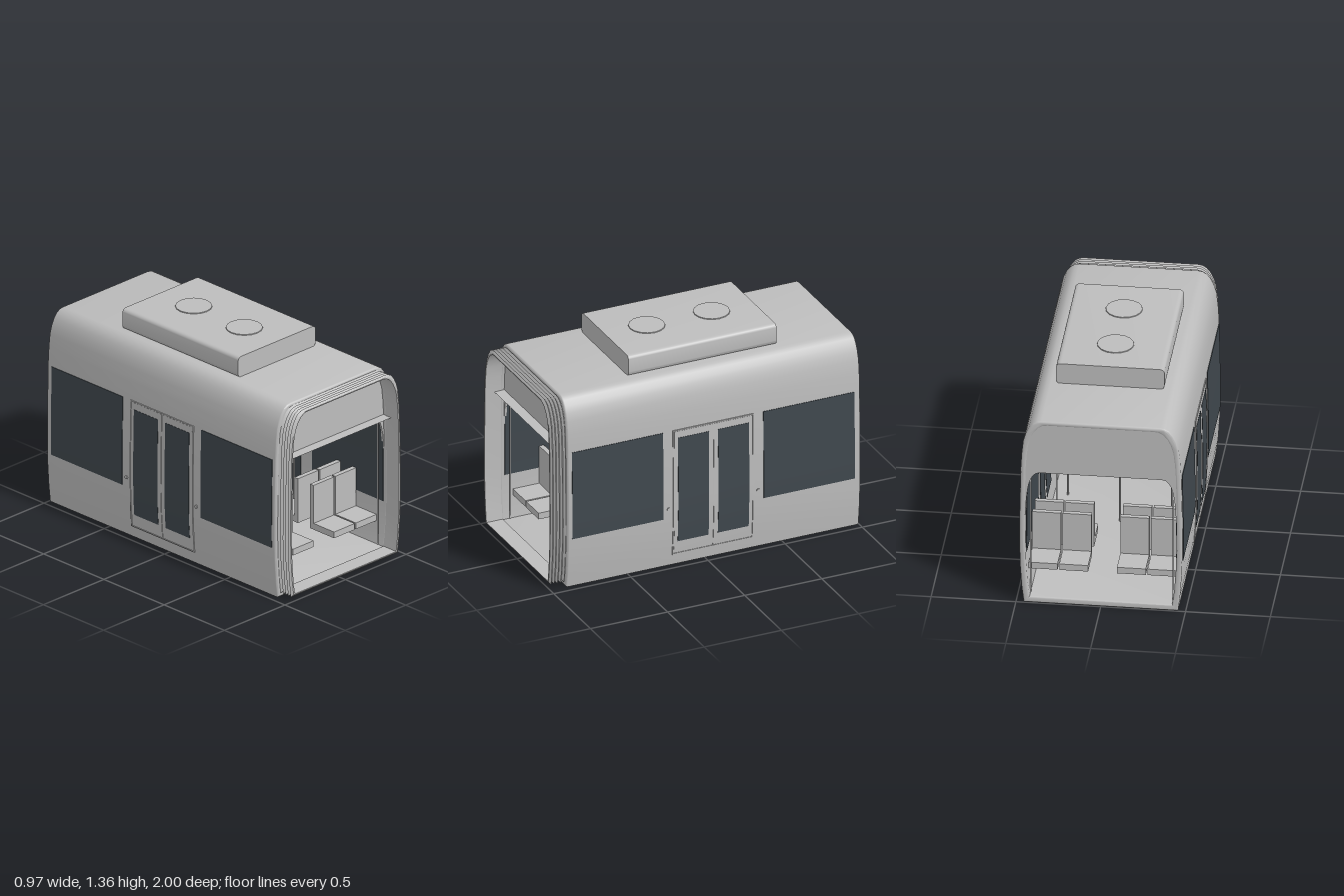
import * as THREE from 'three';
import { toCreasedNormals } from 'three/addons/utils/BufferGeometryUtils.js';

const body = new THREE.MeshStandardMaterial({ color: 0xbdbdbd, side: THREE.DoubleSide });
body.name = 'light grey';
const glass = new THREE.MeshStandardMaterial({ color: 0x40484e });
glass.name = 'dark glass';

// Half cross-section of the car body: [height, half width]
const WALL = [[0, 0.455], [0.1, 0.467], [0.25, 0.477], [0.38, 0.48], [0.6, 0.479], [0.9, 0.473], [1.0, 0.467],
  [1.08, 0.458], [1.13, 0.444], [1.17, 0.425], [1.2, 0.402], [1.216, 0.375], [1.22, 0.35]];
const MID = -0.045; // centre of the cabin along z

function wallX(y) {
  let i = 0;
  while (i < WALL.length - 2 && WALL[i + 1][0] < y) i++;
  const [a, b] = [WALL[i], WALL[i + 1]];
  return a[1] + (b[1] - a[1]) * (y - a[0]) / (b[0] - a[0]);
}

// Closed outline, counter-clockwise, inset sideways and squeezed between y0 and y1
function outline(inset, y0, y1) {
  const right = WALL.map(([y, x]) => new THREE.Vector2(x - inset, y0 + (y1 - y0) * y / 1.22));
  return [...right, ...right.slice().reverse().map(p => new THREE.Vector2(-p.x, p.y))];
}

function add(parent, name, geometry, material, x = 0, y = 0, z = 0) {
  const mesh = new THREE.Mesh(geometry, material);
  mesh.name = name;
  mesh.position.set(x, y, z);
  parent.add(mesh);
  return mesh;
}

function box(parent, name, material, x0, x1, y0, y1, z0, z1) {
  return add(parent, name, new THREE.BoxGeometry(x1 - x0, y1 - y0, z1 - z0), material,
    (x0 + x1) / 2, (y0 + y1) / 2, (z0 + z1) / 2);
}

// Thin plate that follows the curve of the side wall
function sidePlate(parent, name, material, side, z0, z1, y0, y1, offset, thick = 0.004) {
  const g = new THREE.BoxGeometry(thick, y1 - y0, z1 - z0, 1, 16, 1);
  g.translate(0, (y0 + y1) / 2, (z0 + z1) / 2);
  const p = g.attributes.position;
  for (let i = 0; i < p.count; i++) p.setX(i, p.getX(i) + side * (wallX(p.getY(i)) + offset));
  g.computeVertexNormals();
  return add(parent, name, g, material);
}

function pane(parent, name, side, z0, z1, y0, y1, offset) {
  sidePlate(parent, name, glass, side, z0, z1, y0, y1, offset);
  sidePlate(parent, name + 'Inside', glass, side, z0, z1, y0, y1, -0.037);
}

// Skin between rings of points, each ring at its own z
function loft(rings) {
  const pos = [], idx = [], n = rings[0].points.length;
  rings.forEach(r => r.points.forEach(p => pos.push(p.x, p.y, r.z)));
  for (let k = 0; k < rings.length - 1; k++) {
    for (let i = 0; i < n; i++) {
      const a = k * n + i, b = k * n + (i + 1) % n;
      idx.push(a, b, b + n, a, b + n, a + n);
    }
  }
  const g = new THREE.BufferGeometry();
  g.setAttribute('position', new THREE.Float32BufferAttribute(pos, 3));
  g.setIndex(idx);
  return toCreasedNormals(g, 0.5);
}

function addBulkhead(car, name, z) {
  const s = new THREE.Shape(outline(0.02, 0, 1.205).filter(p => p.y >= 0.58));
  const e = wallX(0.6) - 0.035;
  s.lineTo(-e, 0.59);
  s.bezierCurveTo(-e + 0.005, 0.76, -0.425, 0.875, -0.36, 0.875);
  s.lineTo(0.36, 0.875);
  s.bezierCurveTo(0.425, 0.875, e - 0.005, 0.76, e, 0.59);
  add(car, name, new THREE.ExtrudeGeometry(s, { depth: 0.015, bevelEnabled: false, curveSegments: 8 }), body, 0, 0, z);
}

function addShell(car) {
  const shape = new THREE.Shape(outline(0, 0, 1.22));
  shape.holes.push(new THREE.Path(outline(0.035, 0.04, 1.19).reverse()));
  const b = 0.012;
  const g = new THREE.ExtrudeGeometry(shape, { depth: 1.9 - 2 * b, bevelThickness: b, bevelSize: b, bevelOffset: -b, bevelSegments: 3 });
  add(car, 'bodyShell', toCreasedNormals(g, 0.6), body, 0, 0, -1 + b);
  addBulkhead(car, 'rearBulkhead', -0.998);
  addBulkhead(car, 'frontBulkhead', 0.86);
  // Flat ceiling sheet reaching into the gangway
  const sheet = new THREE.PlaneGeometry(0.89, 1.92).rotateX(Math.PI / 2);
  add(car, 'ceiling', sheet, body, 0, 0.882, -0.02);
}

function addBellows(car) {
  const rings = [];
  for (let i = 0; i <= 10; i++) {
    const d = i % 2 ? 0 : 0.013;
    rings.push({ z: 0.895 + i * 0.0105, points: outline(0.014 + d, 0.028 + d, 1.207 - d) });
  }
  rings.push({ z: 1, points: outline(0.037, 0.045, 1.188) });
  rings.push({ z: 0.895, points: outline(0.037, 0.045, 1.188) });
  add(car, 'gangwayBellows', loft(rings), body);
}

function addSide(car, side) {
  const g = new THREE.Group();
  g.name = side > 0 ? 'leftSide' : 'rightSide';
  car.add(g);
  pane(g, 'frontWindow', side, 0.28, 0.87, 0.32, 0.885, 0.001);
  pane(g, 'rearWindow', side, -0.96, -0.37, 0.32, 0.885, 0.001);
  // Two door leaves with tall panes, mirrored about the middle
  for (const d of [-1, 1]) {
    const span = (a, b) => [Math.min(MID + d * a, MID + d * b), Math.max(MID + d * a, MID + d * b)];
    sidePlate(g, 'doorLeaf', body, side, ...span(0.002, 0.253), 0.078, 0.878, 0.001, 0.005);
    pane(g, 'doorPane', side, ...span(0.03, 0.23), 0.155, 0.835, 0.003);
    sidePlate(g, 'doorJamb', body, side, ...span(0.255, 0.262), 0.07, 0.887, 0.002, 0.007);
    const button = new THREE.CylinderGeometry(0.011, 0.011, 0.008, 12).rotateZ(Math.PI / 2);
    add(g, 'doorButton', button, body, side * 0.482, 0.38, MID + d * 0.29);
  }
  sidePlate(g, 'doorHeader', body, side, MID - 0.262, MID + 0.262, 0.88, 0.887, 0.002, 0.007);
  sidePlate(g, 'doorSill', body, side, MID - 0.262, MID + 0.262, 0.07, 0.077, 0.002, 0.007);
}

// One seat; dir is the way it faces along z
function addSeat(car, x, z, dir) {
  const seat = new THREE.Group();
  seat.name = 'seat';
  box(seat, 'backrest', body, -0.085, 0.085, 0.18, 0.465, -0.03, 0);
  box(seat, 'cushion', body, -0.085, 0.085, 0.18, 0.22, 0, 0.17);
  seat.position.set(x, 0, z);
  if (dir < 0) seat.rotation.y = Math.PI;
  car.add(seat);
}

function addPole(car, name, x, z, top) {
  add(car, name, new THREE.CylinderGeometry(0.0055, 0.0055, top - 0.04, 10), body, x, (top + 0.04) / 2, z);
}

function addInterior(car) {
  for (const s of [-1, 1]) {
    for (const x of [0.17, 0.35]) {
      for (const d of [-1, 1]) {
        addSeat(car, s * x, MID + d * 0.695, d);
        addSeat(car, s * x, MID + d * 0.535, -d);
      }
    }
    for (const d of [-1, 1]) {
      addPole(car, 'doorPole', s * 0.34, MID + d * 0.275, 0.855);
      addPole(car, 'wallPole', s * 0.42, MID + d * 0.89, 0.86);
    }
    const rail = new THREE.CylinderGeometry(0.005, 0.005, 0.52, 8).rotateX(Math.PI / 2);
    add(car, 'handrail', rail, body, s * 0.17, 0.705, MID);
  }
  addPole(car, 'centrePole', 0, MID, 0.88);
  // Hanging display with a screen on both faces
  box(car, 'displayCase', body, -0.122, 0.122, 0.755, 0.84, MID - 0.02, MID + 0.02);
  for (const d of [-1, 1]) {
    add(car, 'displayScreen', new THREE.BoxGeometry(0.228, 0.07, 0.004), glass, 0, 0.7975, MID + d * 0.021);
  }
}

function addRoofUnit(car) {
  const s = new THREE.Shape(), w = 0.32, y0 = 1.218, y1 = 1.35, r = 0.03;
  s.moveTo(-w + r, y0);
  s.lineTo(w - r, y0);
  s.quadraticCurveTo(w, y0, w, y0 + r);
  s.lineTo(w, y1 - r);
  s.quadraticCurveTo(w, y1, w - r, y1);
  s.lineTo(-w + r, y1);
  s.quadraticCurveTo(-w, y1, -w, y1 - r);
  s.lineTo(-w, y0 + r);
  s.quadraticCurveTo(-w, y0, -w + r, y0);
  const g = new THREE.ExtrudeGeometry(s, { depth: 0.96, bevelEnabled: false, curveSegments: 6 });
  add(car, 'roofUnit', toCreasedNormals(g, 0.6), body, 0, 0, -0.53);
  for (const z of [-0.26, 0.16]) {
    add(car, 'fanCover', new THREE.CylinderGeometry(0.108, 0.11, 0.01, 16), body, 0, 1.35, z);
  }
}

export function createModel() {
  const car = new THREE.Group();
  car.name = 'tramSection';
  addShell(car);
  addBellows(car);
  addSide(car, 1);
  addSide(car, -1);
  addInterior(car);
  addRoofUnit(car);
  return car;
}
